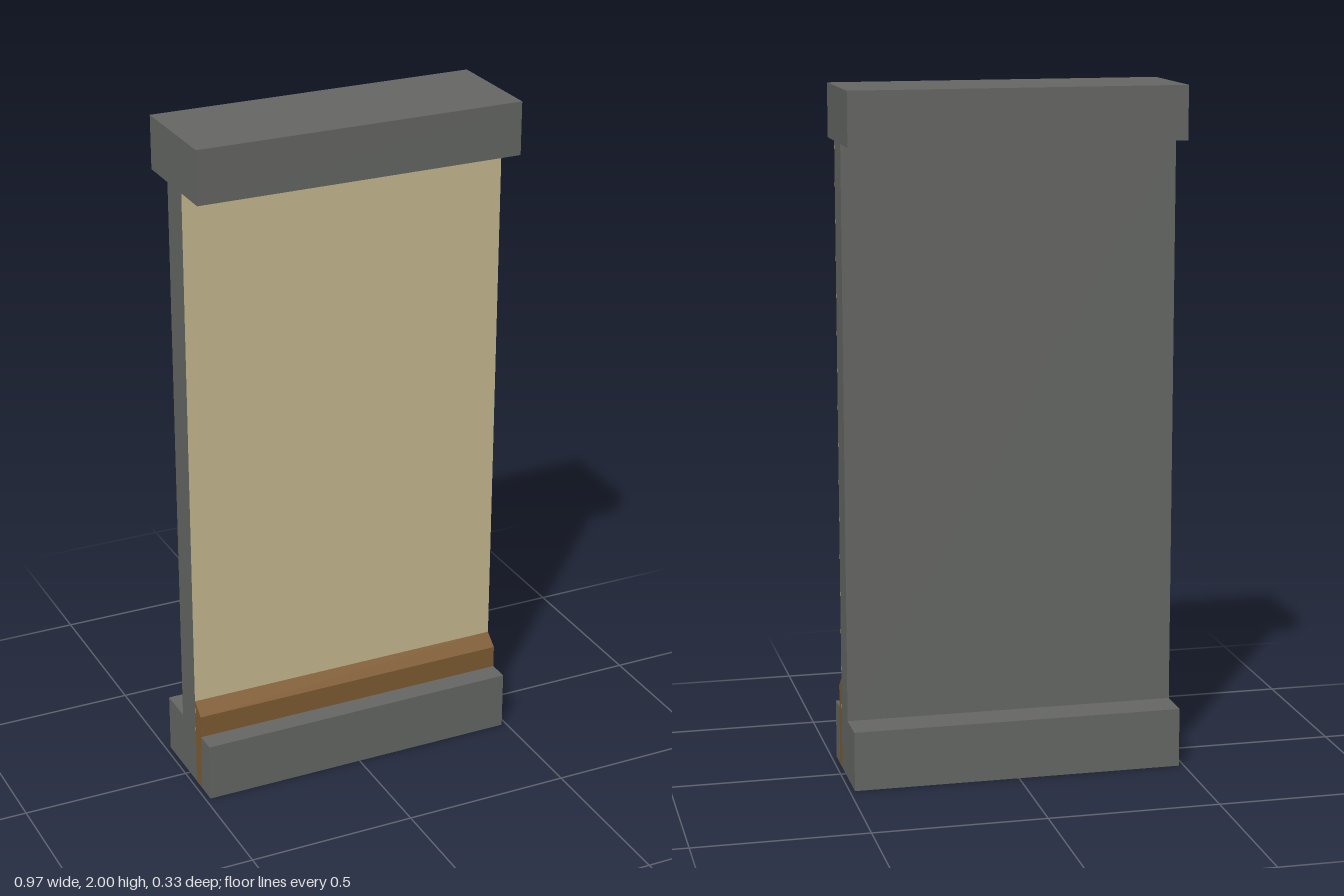
import * as THREE from 'three';

const WIDTH = 0.97;

function material(name, color) {
  const m = new THREE.MeshStandardMaterial({ color });
  m.name = name;
  return m;
}

// Sweeps a cross-section of [z, y] points along x, centred on x = 0.
function sweep(name, points, mat) {
  const shape = new THREE.Shape(points.map(([z, y]) => new THREE.Vector2(z, y)));
  const geometry = new THREE.ExtrudeGeometry(shape, { depth: WIDTH, bevelEnabled: false });
  geometry.translate(0, 0, -WIDTH / 2);
  geometry.rotateY(-Math.PI / 2);
  const mesh = new THREE.Mesh(geometry, mat);
  mesh.name = name;
  return mesh;
}

const rect = (z0, z1, y0, y1) => [[z0, y0], [z1, y0], [z1, y1], [z0, y1]];

export function createModel() {
  const concrete = material('concrete grey', 0x666865);
  const plaster = material('cream plaster', 0xc8ba90);
  const wood = material('brown wood', 0x7f5c33);

  const group = new THREE.Group();
  group.name = 'wallSection';

  const back = -0.045, front = 0.055, boardFront = 0.095;
  const baseTop = 0.175, beamBottom = 1.845;

  group.add(
    // Floor slab with a slot that holds the skirting board
    sweep('floorSlab', [
      [-0.155, 0], [0.158, 0], [0.158, baseTop], [boardFront, baseTop],
      [boardFront, 0.004], [front, 0.004], [front, baseTop], [-0.155, baseTop],
    ], concrete),
    // Upright wall panel
    sweep('wallPanel', rect(back, front - 0.001, baseTop, beamBottom), concrete),
    // Ceiling slab
    sweep('ceilingSlab', rect(-0.162, 0.165, beamBottom, 2), concrete),
    // Plaster skin on the front of the wall
    sweep('plasterFace', rect(front - 0.001, front, baseTop, beamBottom), plaster),
    // Skirting board with a sloped top edge
    sweep('skirtingBoard', [
      [front, 0.004], [boardFront, 0.004], [boardFront, 0.242], [front, 0.275],
    ], wood),
  );
  return group;
}
